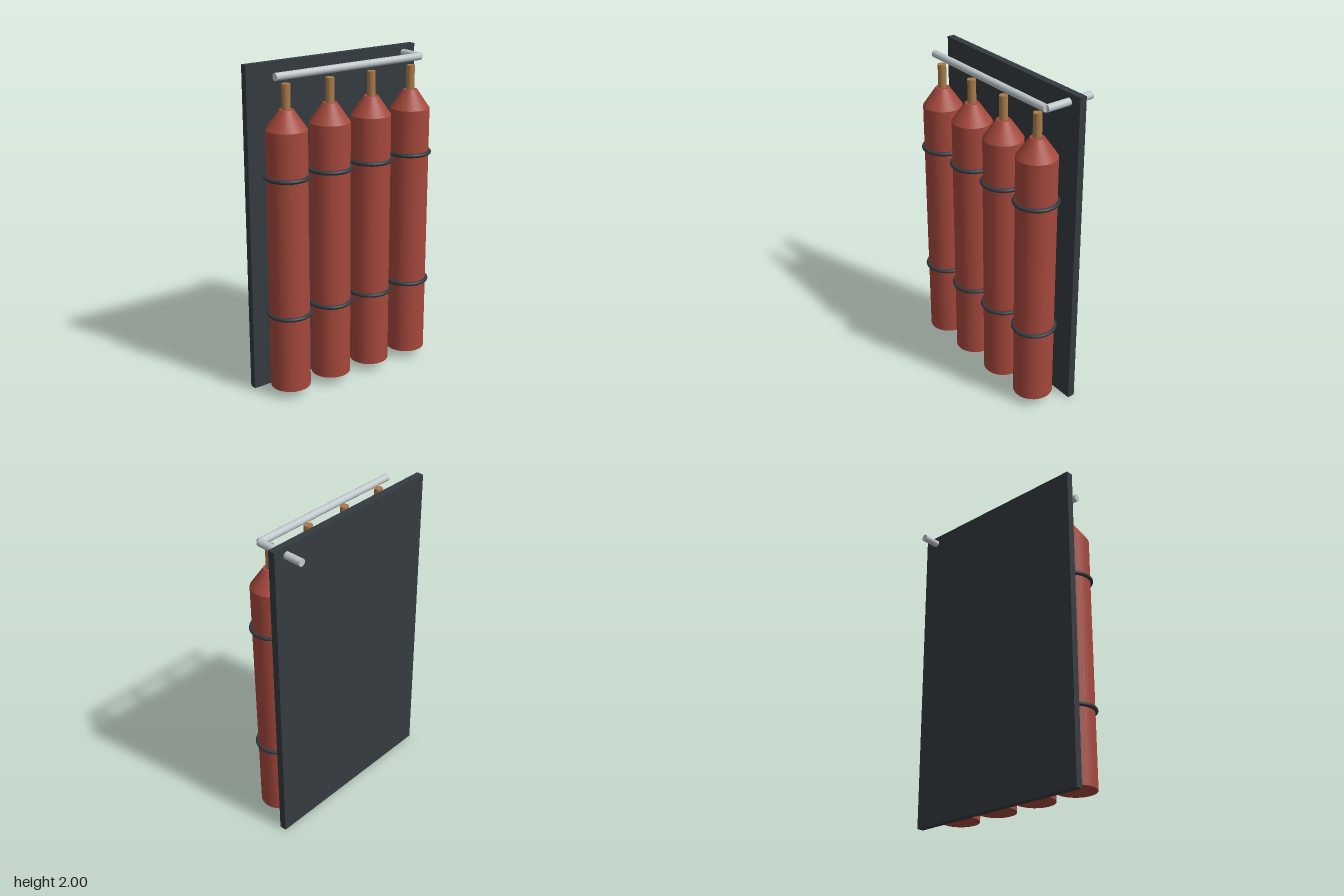
import * as THREE from 'three';

const material = (color) => new THREE.MeshStandardMaterial({ color });

export function createModel() {
  const root = new THREE.Group();
  root.name = 'gasBottleRack';

  const red = material(0xa5483c);
  const dark = material(0x343b40);
  const brass = material(0xa87a48);
  const steel = material(0xc0c8cc);
  const SEG = 32;
  const bottleZ = 0.088;

  const add = (parent, name, geometry, mat, x = 0, y = 0, z = 0) => {
    const mesh = new THREE.Mesh(geometry, mat);
    mesh.name = name;
    mesh.position.set(x, y, z);
    parent.add(mesh);
    return mesh;
  };

  // Back panel
  add(root, 'backPanel', new THREE.BoxGeometry(1.228, 2, 0.045), dark, 0, 1, -0.091);

  // Four bottles, each with shoulder, valve stem and two retaining rings
  const body = new THREE.CylinderGeometry(0.121, 0.121, 1.59, SEG);
  const shoulder = new THREE.CylinderGeometry(0.042, 0.121, 0.115, SEG);
  const valve = new THREE.CylinderGeometry(0.026, 0.026, 0.145, 16);
  const ring = new THREE.TorusGeometry(0.125, 0.0128, 10, 40).rotateX(Math.PI / 2);
  for (let i = 0; i < 4; i++) {
    const bottle = new THREE.Group();
    bottle.name = 'bottle' + (i + 1);
    bottle.position.set(-0.453 + i * 0.302, 0, bottleZ);
    add(bottle, 'body', body, red, 0, 0.85, 0);
    add(bottle, 'shoulder', shoulder, red, 0, 1.7025, 0);
    add(bottle, 'valveStem', valve, brass, 0, 1.8325, 0);
    for (const y of [0.528, 1.37]) add(bottle, 'retainingRing', ring, dark, 0, y, 0);
    root.add(bottle);
  }

  // Manifold pipe above the valves, and the outlet through the panel
  const pipeX = 0.525, pipeY = 1.95, pipeR = 0.0225, outletEnd = -0.226;
  add(root, 'manifoldPipe',
    new THREE.CylinderGeometry(pipeR, pipeR, 2 * pipeX, 20).rotateZ(Math.PI / 2),
    steel, 0, pipeY, bottleZ);
  add(root, 'outletPipe',
    new THREE.CylinderGeometry(pipeR, pipeR, bottleZ - outletEnd, 20).rotateX(Math.PI / 2),
    steel, pipeX, pipeY, (bottleZ + outletEnd) / 2);

  return root;
}
